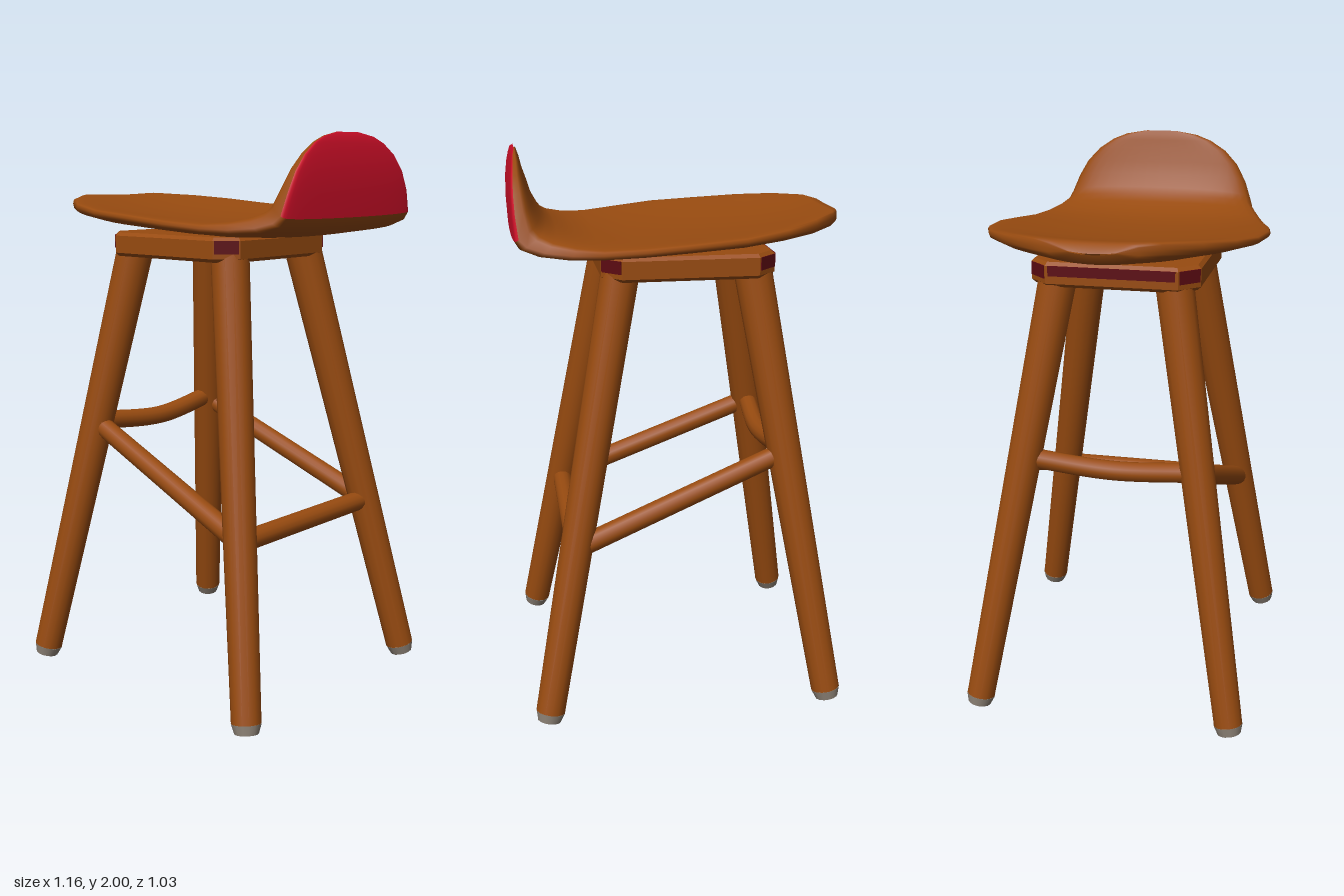
import * as THREE from 'three';

const mat = (name, color, side = THREE.FrontSide) => {
  const m = new THREE.MeshStandardMaterial({ color, side });
  m.name = name;
  return m;
};

export function createModel() {
  const wood = mat('brown wood', 0x984b10);
  const red = mat('red backing', 0xcf0f28);
  const maroon = mat('dark red trim', 0x5c0a12);
  const grey = mat('grey foot', 0x91867a);
  const model = new THREE.Group();

  const add = (name, geometry, material, parent = model) => {
    const mesh = new THREE.Mesh(geometry, material);
    mesh.name = name;
    parent.add(mesh);
    return mesh;
  };

  // Rod between two points, r0 at the start and r1 at the end
  const rod = (name, a, b, r0, r1, material, parent) => {
    const dir = b.clone().sub(a);
    const mesh = add(name, new THREE.CylinderGeometry(r1, r0, dir.length(), 14), material, parent);
    mesh.position.copy(a).add(b).multiplyScalar(0.5);
    mesh.quaternion.setFromUnitVectors(new THREE.Vector3(0, 1, 0), dir.normalize());
    return mesh;
  };

  // Seat stations: upper x, upper y, lower x, lower y, half width
  const stations = [
    [-0.585, 1.742, -0.585, 1.738, 0.08],
    [-0.572, 1.772, -0.572, 1.708, 0.15],
    [-0.54, 1.775, -0.54, 1.698, 0.22],
    [-0.45, 1.758, -0.45, 1.684, 0.335],
    [-0.33, 1.735, -0.33, 1.672, 0.425],
    [-0.18, 1.715, -0.18, 1.66, 0.48],
    [0, 1.702, 0, 1.65, 0.497],
    [0.15, 1.697, 0.15, 1.645, 0.48],
    [0.28, 1.7, 0.29, 1.645, 0.447],
    [0.36, 1.718, 0.4, 1.65, 0.42],
    [0.42, 1.742, 0.5, 1.665, 0.392],
    [0.45, 1.765, 0.56, 1.69, 0.37],
    [0.47, 1.79, 0.576, 1.72, 0.36],
    [0.495, 1.835, 0.58, 1.8, 0.335],
    [0.51, 1.885, 0.579, 1.87, 0.3],
    [0.525, 1.93, 0.573, 1.925, 0.252],
    [0.533, 1.965, 0.566, 1.963, 0.195],
    [0.54, 1.985, 0.56, 1.985, 0.14],
    [0.546, 2, 0.55, 1.999, 0.06],
  ];
  const RING = 40, redFrom = 12;
  const pos = [], woodIndex = [], redIndex = [];
  stations.forEach(([tx, ty, bx, by, w], i) => {
    // the rim sits mid-thickness on the seat, near the outer face on the backrest
    const m = THREE.MathUtils.lerp(0.5, 0.8, THREE.MathUtils.clamp((i - 8) / 4, 0, 1));
    const mx = tx + (bx - tx) * m, my = ty + (by - ty) * m;
    const dish = 0.04 * THREE.MathUtils.clamp((0.45 - tx) / 0.4, 0, 1) * Math.min(w / 0.45, 1);
    for (let j = 0; j < RING; j++) {
      const t = (j / RING) * Math.PI * 2, u = Math.cos(t), s = Math.sin(t);
      const k = Math.sqrt(Math.abs(s));
      const x = s >= 0 ? tx : bx, y = s >= 0 ? ty : by;
      pos.push(mx + (x - mx) * k, my + (y - my) * k + dish * u * u, w * u);
      if (i === stations.length - 1) continue;
      const a = i * RING + j, a1 = i * RING + (j + 1) % RING;
      const list = i >= redFrom && j >= RING / 2 ? redIndex : woodIndex;
      list.push(a, a + RING, a1, a + RING, a1 + RING, a1);
    }
  });
  const shell = (index) => {
    const g = new THREE.BufferGeometry();
    g.setAttribute('position', new THREE.Float32BufferAttribute(pos, 3));
    g.setIndex(index);
    g.computeVertexNormals();
    return g;
  };
  add('seat', shell(woodIndex), wood);
  add('backrestOuterFace', shell(redIndex), red);

  // Support frame under the seat: chamfered square ring
  const octagon = (shape, x0, x1, z, c) => {
    [[x0 + c, -z], [x1 - c, -z], [x1, -z + c], [x1, z - c], [x1 - c, z], [x0 + c, z], [x0, z - c], [x0, -z + c]]
      .forEach(([x, y], i) => (i ? shape.lineTo(x, y) : shape.moveTo(x, y)));
    shape.closePath();
    return shape;
  };
  const outline = octagon(new THREE.Shape(), -0.32, 0.265, 0.285, 0.06);
  outline.holes.push(octagon(new THREE.Path(), -0.19, 0.135, 0.155, 0.03));
  const frameGeo = new THREE.ExtrudeGeometry(outline, {
    depth: 0.062, bevelThickness: 0.012, bevelSize: 0.012, bevelSegments: 1,
  });
  frameGeo.rotateX(-Math.PI / 2);
  add('supportFrame', frameGeo, wood).position.y = 1.577;

  // Dark trim along one side of the frame and at its corners
  const trim = add('frameTrim', new THREE.BoxGeometry(0.008, 0.035, 0.44), maroon);
  trim.position.set(-0.333, 1.622, 0);
  for (const sx of [-1, 1]) for (const sz of [-1, 1]) {
    const corner = add('frameCornerTrim', new THREE.BoxGeometry(0.085, 0.045, 0.008), maroon);
    corner.position.set(sx < 0 ? -0.298 : 0.243, 1.617, sz * 0.263);
    corner.rotation.y = sx * sz * Math.PI / 4;
  }

  // Splayed legs with grey feet
  const legAt = (sx, sz, y) => {
    const t = y / 1.6;
    return new THREE.Vector3(
      sx < 0 ? -0.518 + 0.262 * t : 0.52 - 0.315 * t, y, sz * (0.472 - 0.27 * t));
  };
  for (const sx of [-1, 1]) for (const sz of [-1, 1]) {
    const leg = new THREE.Group();
    leg.name = (sz > 0 ? 'front' : 'back') + (sx > 0 ? 'Left' : 'Right') + 'Leg';
    model.add(leg);
    rod('legShaft', legAt(sx, sz, 0.04), legAt(sx, sz, 1.63), 0.052, 0.068, wood, leg);
    rod('foot', legAt(sx, sz, 0.008), legAt(sx, sz, 0.042), 0.042, 0.053, grey, leg);
  }

  // Stretchers: high on one side, low on the other, sloping between
  const high = 0.935, low = 0.63;
  for (const sz of [-1, 1])
    rod('slopingStretcher', legAt(-1, sz, high), legAt(1, sz, low), 0.036, 0.038, wood);
  rod('lowStretcher', legAt(1, -1, low), legAt(1, 1, low), 0.036, 0.036, wood);
  const p0 = legAt(-1, -1, high + 0.015), p1 = legAt(-1, 1, high + 0.005);
  const mid = p0.clone().add(p1).multiplyScalar(0.5).add(new THREE.Vector3(0.02, -0.03, 0));
  add('highStretcher', new THREE.TubeGeometry(new THREE.CatmullRomCurve3([p0, mid, p1]), 20, 0.035, 12), wood);

  return model;
}
